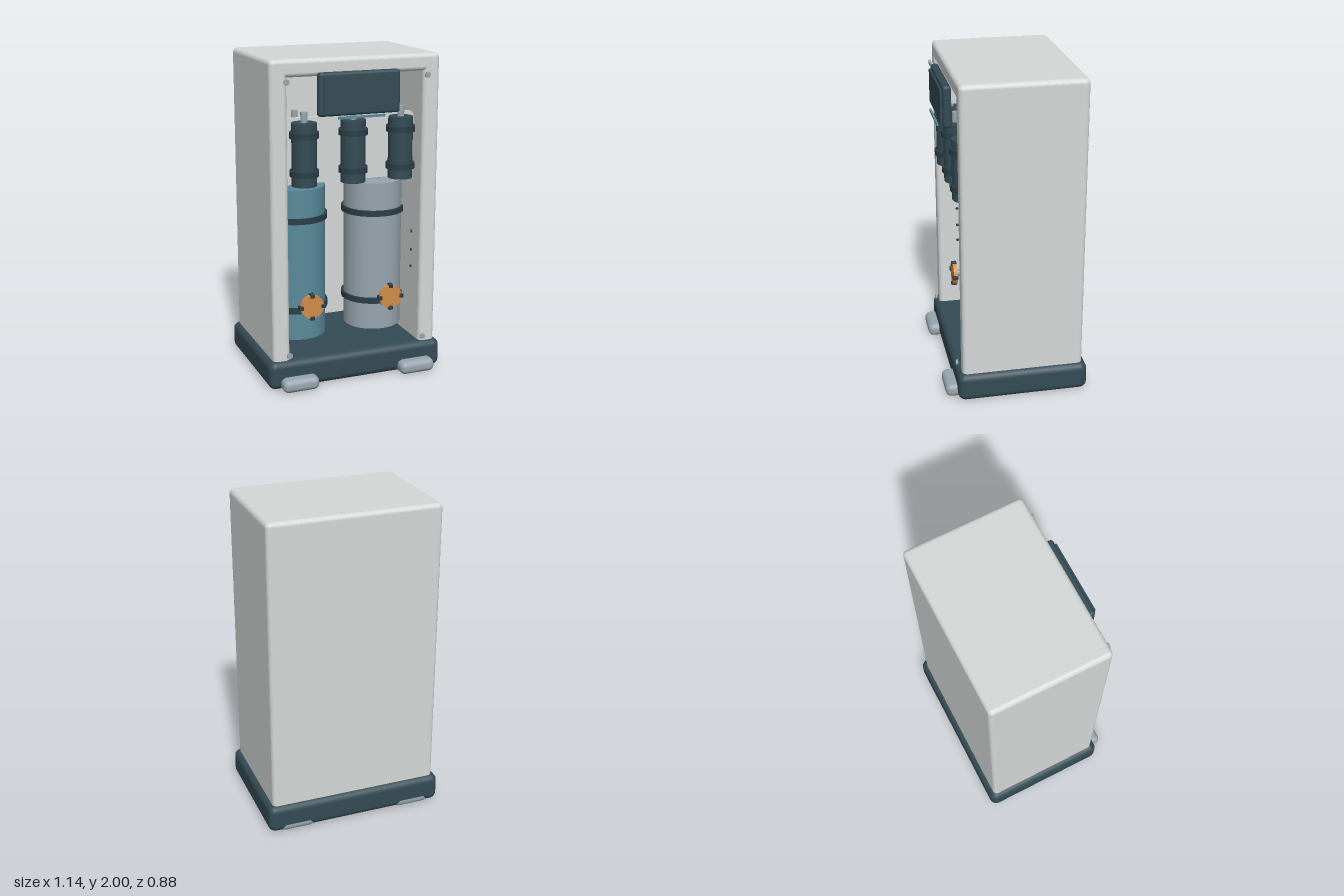
import * as THREE from 'three';
import { RoundedBoxGeometry } from 'three/addons/geometries/RoundedBoxGeometry.js';

const mat = (name, color) => {
  const m = new THREE.MeshStandardMaterial({ color });
  m.name = name;
  return m;
};

// Rounded rectangle outline
function roundedRect(x0, y0, x1, y1, r) {
  const shape = new THREE.Shape();
  shape.absarc(x1 - r, y0 + r, r, -Math.PI / 2, 0);
  shape.absarc(x1 - r, y1 - r, r, 0, Math.PI / 2);
  shape.absarc(x0 + r, y1 - r, r, Math.PI / 2, Math.PI);
  shape.absarc(x0 + r, y0 + r, r, Math.PI, Math.PI * 1.5);
  return shape;
}

export function createModel() {
  const shell = mat('light grey', 0xd4d8d6);
  const dark = mat('dark slate', 0x344b55);
  const band = mat('deep slate', 0x2b3e47);
  const blue = mat('steel blue', 0x5a8a9b);
  const metal = mat('metal grey', 0x98a5ae);
  const orange = mat('valve orange', 0xd08c48);

  const model = new THREE.Group();
  model.name = 'filterCabinet';

  const add = (parent, name, geometry, material, x = 0, y = 0, z = 0) => {
    const mesh = new THREE.Mesh(geometry, material);
    mesh.name = name;
    mesh.position.set(x, y, z);
    parent.add(mesh);
    return mesh;
  };
  // Upright cylinder between two heights
  const column = (parent, name, material, r, y0, y1, x, z, sides = 40) =>
    add(parent, name, new THREE.CylinderGeometry(r, r, y1 - y0, sides), material, x, (y0 + y1) / 2, z);
  // Cylinder along z between two depths
  const rod = (parent, name, material, r, z0, z1, x, y, sides = 32) => {
    const g = new THREE.CylinderGeometry(r, r, z1 - z0, sides).rotateX(Math.PI / 2);
    return add(parent, name, g, material, x, y, (z0 + z1) / 2);
  };

  // Base and the two skids beneath it
  add(model, 'base', new RoundedBoxGeometry(1.14, 0.178, 0.81, 5, 0.045), dark, 0, 0.092, -0.035);
  for (const s of [-1, 1]) {
    add(model, 'skid', new RoundedBoxGeometry(0.23, 0.083, 0.88, 5, 0.035), metal, s * 0.387, 0.0415, 0);
  }

  // Cabinet shell, open at the front, its foot sunk into the base
  const bevel = 0.028;
  const outline = roundedRect(-0.537, 0.04, 0.537, 2, 0.03);
  outline.holes.push(new THREE.Path([
    new THREE.Vector2(-0.43, 0.14), new THREE.Vector2(-0.43, 1.895),
    new THREE.Vector2(0.43, 1.895), new THREE.Vector2(0.43, 0.14),
  ]));
  const shellGeometry = new THREE.ExtrudeGeometry(outline, {
    depth: 0.75 - 2 * bevel, bevelEnabled: true, bevelThickness: bevel, bevelSize: bevel,
    bevelOffset: -bevel, bevelSegments: 8, curveSegments: 8,
  });
  add(model, 'cabinetShell', shellGeometry, shell, 0, 0, -0.41 + bevel);
  add(model, 'backPanel', new THREE.BoxGeometry(0.92, 1.81, 0.07), shell, 0, 1.02, -0.375);

  // Vent dots on the inner walls
  for (const s of [-1, 1]) {
    for (const y of [0.64, 0.75, 0.87]) {
      const dot = new THREE.CylinderGeometry(0.009, 0.009, 0.008, 12).rotateZ(Math.PI / 2);
      add(model, 'wallDot', dot, band, s * 0.428, y, 0.21);
    }
  }

  // Corner screws
  for (const x of [-0.443, 0.443]) {
    for (const y of [0.217, 1.875]) rod(model, 'screwHead', metal, 0.019, 0.357, 0.37, x, y, 6);
  }

  // Tanks with straps, necks and hand valves
  const tankZ = -0.03;
  for (const s of [-1, 1]) {
    const tank = new THREE.Group();
    tank.name = s < 0 ? 'rightTank' : 'leftTank';
    model.add(tank);
    const x = s * 0.262;
    column(tank, 'tankBody', s < 0 ? blue : metal, 0.185, 0.222, 1.182, x, tankZ, 56);
    column(tank, 'tankNeck', metal, 0.05, 1.18, 1.27, x, tankZ);
    column(tank, 'tankPipe', metal, 0.02, 1.27, 1.645, x, tankZ, 20);
    for (const y of [0.415, 0.99]) column(tank, 'tankStrap', band, 0.2, y - 0.018, y + 0.018, x, tankZ, 56);

    const vy = 0.475;
    rod(tank, 'valveStem', metal, 0.024, 0.13, 0.26, x, vy, 20);
    rod(tank, 'valveWheel', orange, 0.075, 0.25, 0.275, x, vy);
    for (let i = 0; i < 4; i++) {
      const a = (i * Math.PI) / 2;
      add(tank, 'valveGrip', new RoundedBoxGeometry(0.027, 0.027, 0.035, 2, 0.005), band,
        x + Math.cos(a) * 0.072, vy + Math.sin(a) * 0.072, 0.265);
    }
  }

  // Mounting plate behind the cartridges
  const plate = roundedRect(-0.43, 1.237, 0.43, 1.638, 0.03);
  add(model, 'mountingPlate', new THREE.ExtrudeGeometry(plate, { depth: 0.03, bevelEnabled: false, curveSegments: 6 }),
    shell, 0, 0, 0.175);

  // Filter cartridges
  for (const x of [-0.31, 0, 0.31]) {
    const cartridge = new THREE.Group();
    cartridge.name = 'cartridge';
    model.add(cartridge);
    column(cartridge, 'cartridgeBody', dark, 0.075, 1.245, 1.622, x, 0.277);
    for (const y of [1.322, 1.55]) column(cartridge, 'cartridgeBand', band, 0.088, y - 0.018, y + 0.018, x, 0.277);
    column(cartridge, 'cartridgePort', metal, 0.021, 1.62, 1.685, x, 0.277, 20);
  }

  // Control display with status strip
  add(model, 'displayCase', new RoundedBoxGeometry(0.514, 0.255, 0.05, 4, 0.018), dark, 0, 1.793, 0.363);
  add(model, 'displayFace', new THREE.BoxGeometry(0.455, 0.203, 0.02), dark, 0, 1.793, 0.391);
  add(model, 'statusStrip', new THREE.BoxGeometry(0.295, 0.014, 0.012), blue, 0, 1.659, 0.408);

  return model;
}
